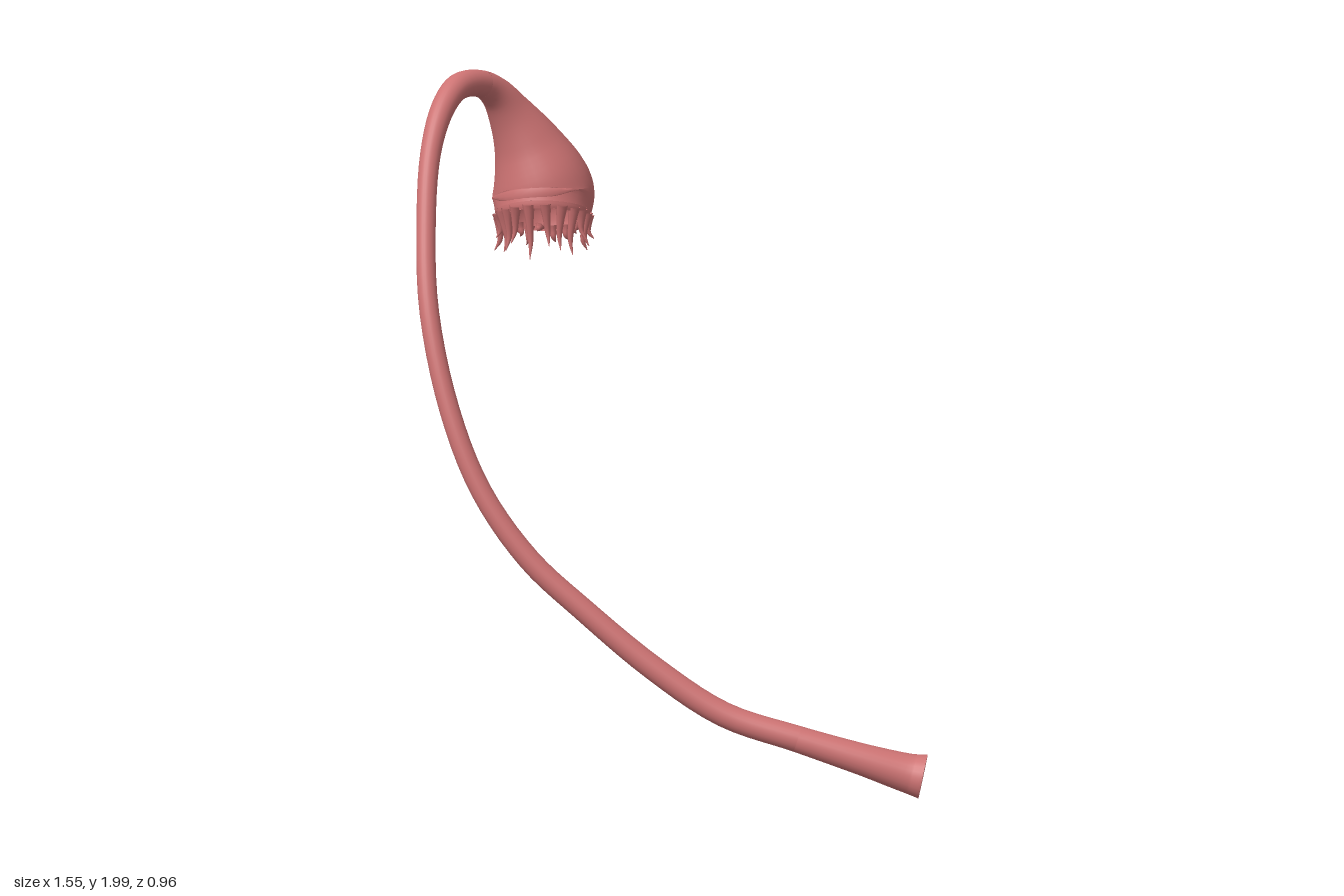
import * as THREE from 'three';

const skin = new THREE.MeshStandardMaterial({ color: 0xcd7373, side: THREE.DoubleSide });

// Centreline from the foot to the mouth rim: x, y, z, radius
const BODY = [
  [0.764, 0.066, 0.3, 0.064], [0.725, 0.073, 0.303, 0.057], [0.6, 0.112, 0.33, 0.046], [0.41, 0.17, 0.36, 0.038],
  [0.2, 0.235, 0.385, 0.036], [0, 0.362, 0.403, 0.035], [-0.2, 0.525, 0.42, 0.033],
  [-0.36, 0.67, 0.432, 0.032], [-0.5, 0.86, 0.427, 0.03], [-0.6, 1.08, 0.395, 0.029],
  [-0.68, 1.35, 0.325, 0.028], [-0.72, 1.58, 0.222, 0.028], [-0.739, 1.78, 0.112, 0.03],
  [-0.731, 1.9, 0.015, 0.035], [-0.71, 1.953, -0.07, 0.039], [-0.67, 1.95, -0.172, 0.041],
  [-0.642, 1.912, -0.232, 0.051], [-0.615, 1.85, -0.275, 0.07], [-0.578, 1.76, -0.312, 0.104],
  [-0.546, 1.66, -0.335, 0.144], [-0.536, 1.602, -0.343, 0.156], [-0.53, 1.547, -0.32, 0.146],
];
const SEAM_FOOT = 3, SEAM_HEAD = 15, RIM = BODY.length - 1;

// Smooth round skin over points [x, y, z, radius], between two point indices
function loft(pts, from = 0, to = pts.length - 1, sides = 24, steps = 5) {
  const last = pts.length - 1;
  const path = new THREE.CatmullRomCurve3(pts.map(p => new THREE.Vector3(p[0], p[1], p[2])));
  const width = new THREE.CatmullRomCurve3(pts.map((p, i) => new THREE.Vector3(p[3], i * 0.1, 0)));
  const rings = (to - from) * steps, pos = [], index = [];
  const normal = new THREE.Vector3(0.31, 0.2, 0.93), side = new THREE.Vector3();
  for (let i = 0; i <= rings; i++) {
    const t = (from + i / steps) / last;
    const c = path.getPoint(t), tan = path.getTangent(t), r = width.getPoint(t).x;
    normal.addScaledVector(tan, -normal.dot(tan)).normalize();
    side.crossVectors(tan, normal);
    for (let j = 0; j < sides; j++) {
      const a = (j / sides) * Math.PI * 2;
      const v = c.clone().addScaledVector(normal, r * Math.cos(a)).addScaledVector(side, r * Math.sin(a));
      pos.push(v.x, v.y, v.z);
      if (i < rings) {
        const k = i * sides + j, n = i * sides + (j + 1) % sides;
        index.push(k, n, k + sides, n, n + sides, k + sides);
      }
    }
  }
  const geo = new THREE.BufferGeometry();
  geo.setAttribute('position', new THREE.Float32BufferAttribute(pos, 3));
  geo.setIndex(index);
  geo.computeVertexNormals();
  return geo;
}

export function createModel() {
  const model = new THREE.Group();
  const add = (name, geo, parent = model) => {
    const mesh = new THREE.Mesh(geo, skin);
    mesh.name = name;
    parent.add(mesh);
    return mesh;
  };

  // Flared foot, long curved stem and swollen head
  add('foot', loft(BODY, 0, SEAM_FOOT));
  add('stem', loft(BODY, SEAM_FOOT, SEAM_HEAD));
  add('head', loft(BODY, SEAM_HEAD, RIM, 32));

  // Flat end of the foot
  const path = new THREE.CatmullRomCurve3(BODY.map(p => new THREE.Vector3(p[0], p[1], p[2])));
  const cap = add('footCap', new THREE.CircleGeometry(BODY[0][3], 24));
  cap.position.copy(path.getPoint(0));
  cap.lookAt(path.getPoint(0).sub(path.getTangent(0)));

  // Mouth: a thin lip below the rim and a hollow inside
  const centre = path.getPoint(1), out = path.getTangent(1), r = BODY[RIM][3];
  const along = (d, radius) => [...centre.clone().addScaledVector(out, d).toArray(), radius];
  add('lip', loft([along(0, r), along(0.012, r - 0.003), along(0.022, r - 0.009)], 0, 2, 32, 2));
  add('mouthHollow', loft([along(0.022, r - 0.01), along(-0.01, r - 0.016), along(-0.05, r * 0.75),
    along(-0.075, r * 0.4), along(-0.083, 0.001)], 0, 4, 32, 3));

  // Ragged fringe of hooked teeth hanging from the lip
  const teeth = new THREE.Group();
  teeth.name = 'teeth';
  model.add(teeth);
  const across = new THREE.Vector3(1, 0, 0);
  across.addScaledVector(out, -across.dot(out)).normalize();
  const forward = new THREE.Vector3().crossVectors(across, out);
  const count = 20;
  for (let i = 0; i < count; i++) {
    const a = (i / count) * Math.PI * 2 + 0.07 * Math.sin(i * 5.3);
    const radial = across.clone().multiplyScalar(Math.cos(a)).addScaledVector(forward, Math.sin(a));
    const root = centre.clone().addScaledVector(out, 0.008).addScaledVector(radial, r - 0.009);
    const drop = root.y - (1.45 + 0.025 * Math.sin(i * 2.4));
    const sway = 0.012 * Math.sin(i * 1.7);
    const at = (f, push, radius) => [root.x + radial.x * push + sway * f, root.y - drop * f,
      root.z + radial.z * push, radius];
    add('tooth', loft([at(0, 0, 0.019), at(0.3, -0.004, 0.0125), at(0.7, -0.008, 0.0075),
      at(1, 0.006, 0.001)], 0, 3, 8, 3), teeth);
  }
  return model;
}
